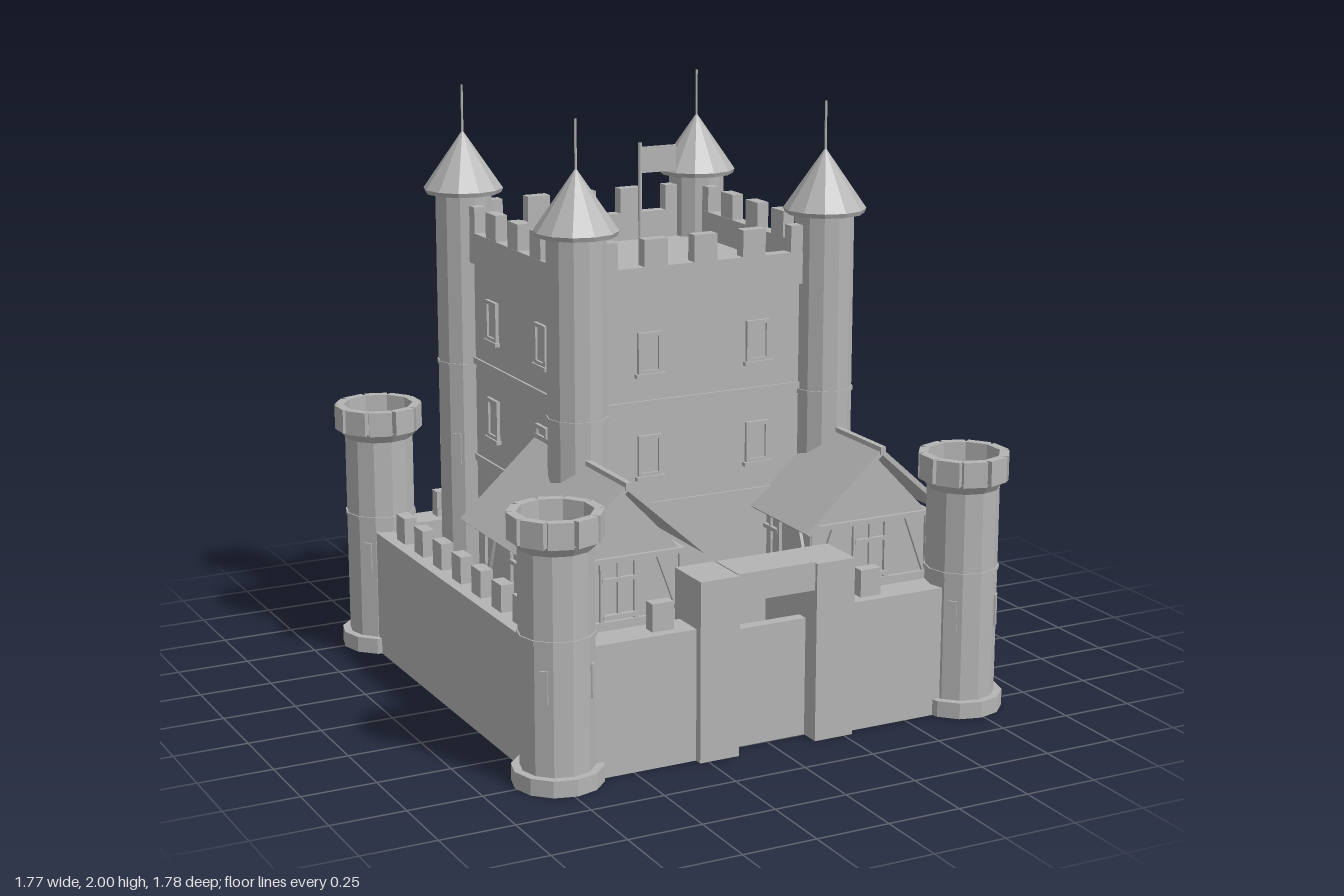
import * as THREE from 'three';

export function createModel() {
  const root = new THREE.Group();
  const stone = new THREE.MeshStandardMaterial({ color: 0xb4b4b4, flatShading: true });
  stone.name = 'grey stone';

  const group = (parent, name, x = 0, y = 0, z = 0, ry = 0) => {
    const g = new THREE.Group();
    g.name = name;
    g.position.set(x, y, z);
    g.rotation.y = ry;
    parent.add(g);
    return g;
  };
  const mesh = (parent, name, geo, x = 0, y = 0, z = 0) => {
    const m = new THREE.Mesh(geo, stone);
    m.name = name;
    m.position.set(x, y, z);
    parent.add(m);
    return m;
  };
  // Box given by its minimum and maximum corners
  const span = (p, name, x0, x1, y0, y1, z0, z1) =>
    mesh(p, name, new THREE.BoxGeometry(x1 - x0, y1 - y0, z1 - z0), (x0 + x1) / 2, (y0 + y1) / 2, (z0 + z1) / 2);
  // Vertical cylinder between two heights
  const drum = (p, name, rTop, rBottom, y0, y1, sides = 12) =>
    mesh(p, name, new THREE.CylinderGeometry(rTop, rBottom, y1 - y0, sides), 0, (y0 + y1) / 2, 0);
  // Four arrow slits on the diagonals of a round tower
  const slits = (p, r, y0, y1) => {
    for (let i = 0; i < 4; i++) {
      const g = group(p, 'arrowSlit', 0, 0, 0, Math.PI / 4 + i * Math.PI / 2);
      span(g, 'slit', -0.014, 0.014, y0, y1, r - 0.02, r + 0.004);
    }
  };

  // Corner towers with crenellated crowns
  for (const sx of [-1, 1]) for (const sz of [-1, 1]) {
    const t = group(root, 'cornerTower', sx * 0.74, 0, sz * 0.74);
    drum(t, 'towerBase', 0.147, 0.147, 0, 0.055);
    drum(t, 'towerShaft', 0.12, 0.12, 0.055, 0.77);
    drum(t, 'towerBand', 0.125, 0.125, 0.48, 0.495);
    drum(t, 'towerFlare', 0.145, 0.12, 0.765, 0.8);
    for (let i = 0; i < 10; i++) {
      const g = group(t, 'towerMerlon', 0, 0, 0, (i + 0.5) * Math.PI / 5);
      span(g, 'merlon', -0.04, 0.04, 0.795, 0.88, 0.115, 0.147);
    }
    slits(t, 0.118, 0.29, 0.4);
  }

  // Curtain walls with merlons
  const merlonRow = i => i * 0.165;
  for (const s of [-1, 1]) {
    const wall = group(root, 'sideWall', s * 0.74);
    span(wall, 'wall', -0.058, 0.058, 0, 0.44, -0.74, 0.74);
    for (let i = -3; i <= 3; i++)
      span(wall, 'wallMerlon', -0.022, 0.022, 0.44, 0.532, merlonRow(i) - 0.038, merlonRow(i) + 0.038);
    const front = group(root, 'frontWall', s * 0.44, 0, 0.735);
    span(front, 'wall', -0.25, 0.25, 0, 0.44, -0.057, 0.057);
    span(front, 'wallMerlon', -s * 0.06 - 0.038, -s * 0.06 + 0.038, 0.44, 0.532, -0.022, 0.022);
  }
  const back = group(root, 'backWall', 0, 0, -0.74);
  span(back, 'wall', -0.74, 0.74, 0, 0.44, -0.058, 0.058);
  for (let i = -3; i <= 3; i++)
    span(back, 'wallMerlon', merlonRow(i) - 0.038, merlonRow(i) + 0.038, 0.44, 0.532, -0.022, 0.022);

  // Gatehouse
  const gate = group(root, 'gatehouse');
  for (const s of [-1, 1]) span(gate, 'gatePillar', s * 0.21 - 0.07, s * 0.21 + 0.07, 0, 0.602, 0.645, 0.82);
  span(gate, 'gateLintel', -0.14, 0.14, 0.51, 0.605, 0.655, 0.808);
  span(gate, 'gateDoor', -0.14, 0.14, 0, 0.4, 0.71, 0.75);

  // Framed window facing +z
  const frameShape = new THREE.Shape([[-0.043, 0], [0.043, 0], [0.043, 0.14], [-0.043, 0.14]].map(p => new THREE.Vector2(...p)));
  frameShape.holes.push(new THREE.Path([[-0.03, 0.014], [-0.03, 0.127], [0.03, 0.127], [0.03, 0.014]].map(p => new THREE.Vector2(...p))));
  const frameGeo = new THREE.ExtrudeGeometry(frameShape, { depth: 0.012, bevelEnabled: false });
  const addWindow = (p, x, y, z) => {
    const w = group(p, 'window', x, y, z);
    mesh(w, 'windowFrame', frameGeo);
    span(w, 'windowPane', -0.03, 0.03, 0.014, 0.127, -0.005, 0.004);
    span(w, 'windowSill', -0.052, 0.052, -0.01, 0.003, 0, 0.018);
  };

  // Keep: square block, string courses, parapet
  const keep = group(root, 'keep', 0, 0, -0.155);
  span(keep, 'keepBody', -0.46, 0.46, 0, 1.41, -0.46, 0.46);
  for (const y of [0.695, 1.042]) span(keep, 'stringCourse', -0.468, 0.468, y, y + 0.022, -0.468, 0.468);
  for (let side = 0; side < 4; side++) {
    const f = group(keep, 'keepFace', 0, 0, 0, side * Math.PI / 2);
    span(f, 'parapet', -0.475, 0.475, 1.4, 1.508, 0.43, 0.475);
    for (let i = -2; i <= 2; i++)
      span(f, 'keepMerlon', i * 0.18 - 0.042, i * 0.18 + 0.042, 1.508, 1.597, 0.431, 0.474);
    for (const x of [-0.2, 0.2])
      for (const y of side === 0 ? [0.808, 1.152] : [0.464, 0.808, 1.152]) addWindow(f, x, y, 0.46);
  }
  span(keep, 'keepDoor', -0.12, 0.12, 0, 0.37, 0.45, 0.51);

  // Round turrets with cone roofs and spikes
  for (const sx of [-1, 1]) for (const sz of [-1, 1]) {
    const t = group(keep, 'turret', sx * 0.455, 0, sz * 0.455);
    drum(t, 'turretShaft', 0.098, 0.098, 0, 1.64);
    drum(t, 'turretBand', 0.102, 0.102, 1.025, 1.04);
    drum(t, 'turretEave', 0.138, 0.132, 1.63, 1.645);
    mesh(t, 'turretRoof', new THREE.ConeGeometry(0.138, 0.2, 12), 0, 1.745, 0);
    drum(t, 'spike', 0.004, 0.004, 1.82, 2, 6);
    slits(t, 0.096, 0.68, 0.79);
  }

  // Flag
  const flag = group(keep, 'flag');
  drum(flag, 'flagPole', 0.007, 0.007, 1.4, 1.83, 8);
  span(flag, 'flagCloth', 0.005, 0.135, 1.727, 1.816, -0.003, 0.003);

  // Half-timbered houses
  const extrudeZ = (pts, z0, z1) => new THREE.ExtrudeGeometry(
    new THREE.Shape(pts.map(p => new THREE.Vector2(...p))), { depth: z1 - z0, bevelEnabled: false }).translate(0, 0, z0);
  // Beam between two points on a face, in that face's own x and y
  const beam = (p, x0, y0, x1, y1, z, w = 0.016) => {
    const m = mesh(p, 'timber', new THREE.BoxGeometry(w, Math.hypot(x1 - x0, y1 - y0), 0.016), (x0 + x1) / 2, (y0 + y1) / 2, z);
    m.rotation.z = -Math.atan2(x1 - x0, y1 - y0);
  };
  for (const s of [-1, 1]) {
    const h = group(root, 'house', s * 0.463, 0, 0.343);
    mesh(h, 'houseBody', extrudeZ([[-0.22, 0], [0.22, 0], [0.22, 0.65], [0, 0.88], [-0.22, 0.65]], -0.265, 0.265));
    mesh(h, 'houseRoof', extrudeZ(
      [[-0.282, 0.655], [-0.27, 0.645], [0, 0.886], [0.27, 0.645], [0.282, 0.655], [0, 0.908]], -0.342, 0.337));
    span(h, 'ridgeBeam', -0.01, 0.01, 0.89, 0.915, -0.342, 0.342);
    for (let side = 0; side < 4; side++) {
      const across = side % 2 === 0;
      const w = across ? 0.22 : 0.265, d = across ? 0.268 : 0.223;
      const f = group(h, 'timberFace', 0, 0, 0, side * Math.PI / 2);
      span(f, 'timberPlate', -w - 0.008, w + 0.008, 0.638, 0.655, d - 0.01, d + 0.01);
      span(f, 'timberSill', -w - 0.008, w + 0.008, 0.43, 0.446, d - 0.01, d + 0.01);
      for (const m of [-1, 1]) {
        beam(f, m * w, 0.43, m * w, 0.65, d);
        beam(f, m * 0.06, 0.44, m * 0.06, 0.64, d);
        beam(f, m * (w - 0.01), 0.45, m * (w - 0.08), 0.64, d);
      }
      span(f, 'houseWindowSill', -0.06, 0.06, 0.455, 0.468, d - 0.01, d + 0.014);
      span(f, 'houseWindowHead', -0.06, 0.06, 0.575, 0.588, d - 0.01, d + 0.01);
      span(f, 'houseWindowBar', -0.006, 0.006, 0.455, 0.64, d - 0.01, d + 0.006);
    }
  }
  return root;
}
